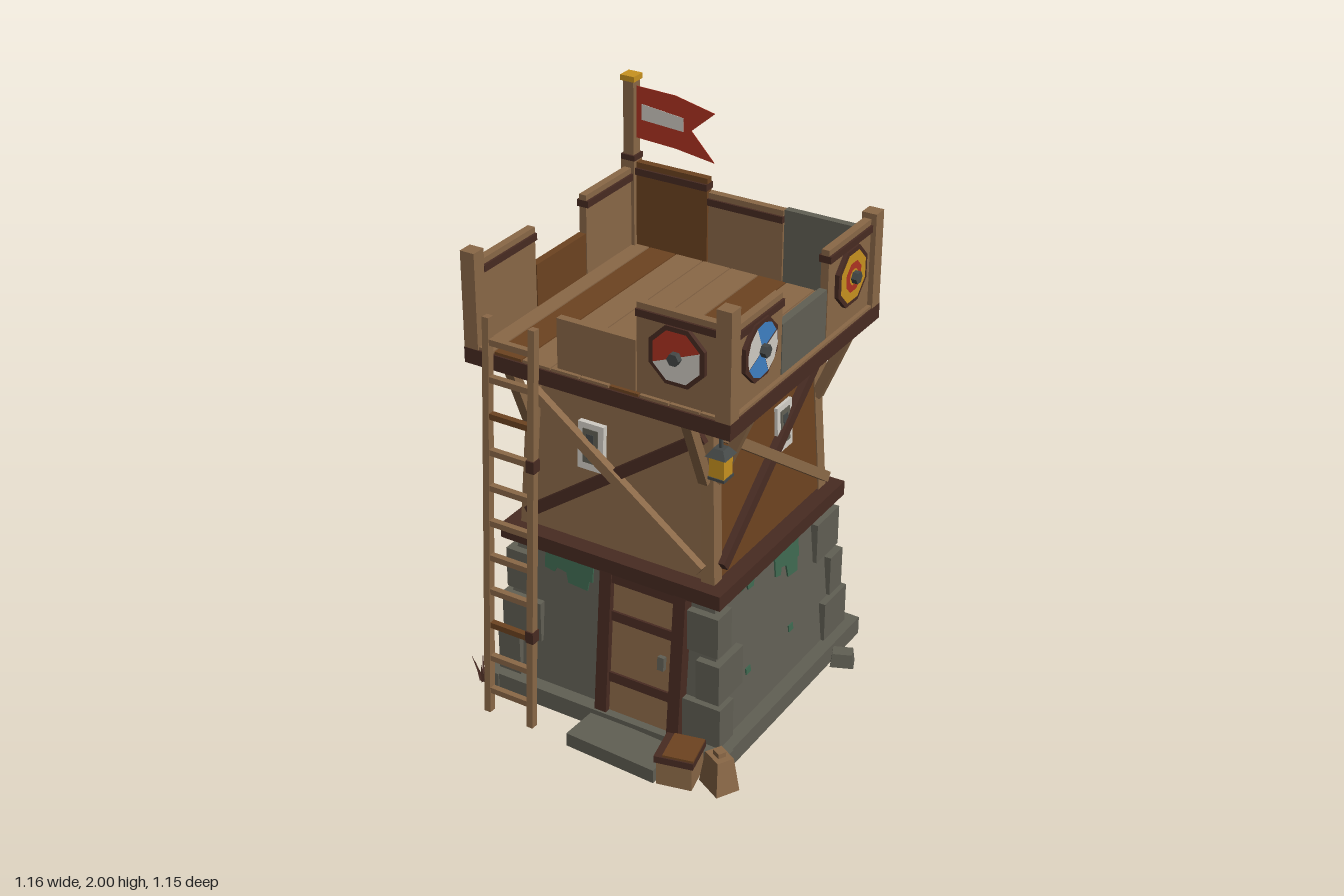
import * as THREE from 'three';

const mat = (name, color) => Object.assign(new THREE.MeshStandardMaterial({ color }), { name });
const M = {
  wood: mat('light wood', 0x8a6847), dark: mat('brown wood', 0x6d4320), trim: mat('dark trim', 0x482b22),
  stone: mat('stone', 0x615f54), moss: mat('moss', 0x3e6850), red: mat('red', 0xaf3322),
  white: mat('white', 0xd0ccc4), gold: mat('gold', 0xc8921f), blue: mat('blue', 0x3f80c4),
  iron: mat('iron', 0x444847),
};

function add(parent, name, geo, m, x = 0, y = 0, z = 0) {
  const mesh = new THREE.Mesh(geo, m);
  mesh.name = name;
  mesh.position.set(x, y, z);
  parent.add(mesh);
  return mesh;
}
const box = (p, name, m, w, h, d, x, y, z) => add(p, name, new THREE.BoxGeometry(w, h, d), m, x, y, z);

function group(parent, name, x = 0, y = 0, z = 0) {
  const g = new THREE.Group();
  g.name = name;
  g.position.set(x, y, z);
  parent.add(g);
  return g;
}

function flat(geo) {
  const g = geo.toNonIndexed();
  g.computeVertexNormals();
  return g;
}

// Square block tapering from half-width b at the bottom to t at the top
const taper = (b, t, h) =>
  flat(new THREE.CylinderGeometry(t * Math.SQRT2, b * Math.SQRT2, h, 4).rotateY(Math.PI / 4));

// Square bar between two points
function bar(p, name, m, a, b, w, d = w) {
  const A = new THREE.Vector3(...a), B = new THREE.Vector3(...b);
  const mesh = box(p, name, m, w, A.distanceTo(B), d, ...A.clone().add(B).multiplyScalar(0.5).toArray());
  mesh.quaternion.setFromUnitVectors(new THREE.Vector3(0, 1, 0), B.sub(A).normalize());
  return mesh;
}

// Thin plate cut from an outline
function plate(p, name, m, pts, depth, x, y, z) {
  const shape = new THREE.Shape(pts.map(q => new THREE.Vector2(...q)));
  return add(p, name, new THREE.ExtrudeGeometry(shape, { depth, bevelEnabled: false }), m, x, y, z);
}

// Octagonal shield; each painted part is [material, radius, segments, first corner]
function shield(p, x, y, parts) {
  const g = group(p, 'shield', x, y, 0.479);
  const disc = (name, m, r, h, n, z) =>
    add(g, name, flat(new THREE.CylinderGeometry(r, r, h, n).rotateY(Math.PI / n).rotateX(Math.PI / 2)), m, 0, 0, z);
  disc('shieldRim', M.trim, 0.108, 0.018, 8, 0.009);
  parts.forEach(([m, r, n, k], i) => add(g, 'shieldPaint',
    new THREE.CircleGeometry(r, n, Math.PI / 8 + k * Math.PI / 4, n * Math.PI / 4), m, 0, 0, 0.02 + i * 0.001));
  disc('shieldBoss', M.iron, 0.022, 0.034, 6, 0.025);
}

function moss(p, x, w, h) {
  const pts = [[0, 0], [0, -0.7], [0.2, -0.75], [0.25, -0.6], [0.45, -0.65], [0.5, -0.95], [0.9, -1], [0.93, -0.7], [1, -0.7], [1, 0]];
  plate(p, 'moss', M.moss, pts.map(([a, b]) => [(a - 0.5) * w, b * h]), 0.006, x, 0.27, 0);
}

function window_(p, x) {
  box(p, 'windowFrame', M.white, 0.1, 0.172, 0.03, x, 0.055, 0.005);
  box(p, 'windowPane', M.stone, 0.058, 0.125, 0.008, x, 0.058, 0.019);
  box(p, 'windowSlit', M.iron, 0.028, 0.09, 0.008, x, 0.058, 0.021);
}

export function createModel() {
  const root = new THREE.Group();
  root.name = 'watchtower';
  const tower = group(root, 'tower', 0, 0, -0.078);

  // Main tapered bodies
  add(tower, 'stoneBase', taper(0.44, 0.39, 0.57), M.stone, 0, 0.345, 0);
  add(tower, 'upperRoom', taper(0.372, 0.34, 0.65), M.wood, 0, 0.985, 0);

  // Parapet panels as seen from outside: [material, top height, has band]
  const panels = [
    [null, [M.wood, 1.545, 0], [M.wood, 1.68, 1]],
    [[M.wood, 1.66, 1], [M.stone, 1.545, 0], [M.wood, 1.68, 1]],
    [[M.stone, 1.635, 0], [M.wood, 1.63, 1], [M.dark, 1.68, 1]],
    [[M.wood, 1.66, 1], [M.dark, 1.52, 0], [M.wood, 1.66, 1]],
  ];
  ['front', 'left', 'back', 'right'].forEach((side, i) => {
    const face = group(tower, side + 'Side');
    face.rotation.y = i * Math.PI / 2;
    box(face, 'plinth', M.stone, 0.97, 0.07, 0.06, 0.01, 0.035, 0.46);
    box(face, 'beltBeam', M.trim, 0.87, 0.055, 0.08, 0, 0.638, 0.395);
    box(face, 'platformRim', M.trim, 1.004, 0.056, 0.05, 0, 1.328, 0.477);

    panels[i].forEach((q, k) => {
      if (!q) return;
      const [m, top, band] = q, x = (k - 1) * 0.3;
      box(face, 'parapetPanel', m, 0.295, top - 1.35, 0.028, x, (top + 1.35) / 2, 0.468);
      if (band) box(face, 'parapetBand', M.trim, 0.297, 0.025, 0.044, x, top - 0.033, 0.468);
    });

    // Struts carrying the platform
    for (const s of [-1, 1])
      bar(face, 'strut', M.wood, [s * 0.335, 1.04, 0.365], [s * 0.335, 1.305, 0.475], 0.035);

    // Leaning wall of the upper room with its braces
    const wall = group(face, 'upperWall', 0, 0.98, 0.357);
    wall.rotation.x = -0.049;
    if (i % 2) {
      const pts = [[-0.365, -0.31], [0.365, -0.31], [0.335, 0.32], [-0.335, 0.32]];
      plate(wall, 'wallBoards', M.dark, pts, 0.009, 0, 0, -0.001);
    }
    const d = i < 2 ? 1 : -1;
    bar(wall, 'darkBrace', M.trim, [-0.345 * d, -0.26, 0.02], [0.33 * d, 0.22, 0.02], 0.04, 0.03);
    if (i < 2) {
      bar(wall, 'lightBrace', M.wood, [-0.33, 0.22, 0.035], [0.345, -0.26, 0.035], 0.036, 0.03);
      window_(wall, i ? 0.09 : -0.1);
    }

    // Moss hanging on the stone
    const stone = group(face, 'stoneFace', 0, 0.345, 0.416);
    stone.rotation.x = -0.086;
    if (i === 0) moss(stone, -0.178, 0.195, 0.125);
    if (i === 1) {
      moss(stone, -0.19, 0.095, 0.07);
      moss(stone, 0.077, 0.165, 0.17);
      for (const x of [-0.22, 0.08]) box(stone, 'mossSpot', M.moss, 0.03, 0.025, 0.008, x, -0.1, 0);
    }
    if (i === 2) moss(stone, -0.08, 0.19, 0.13);
    if (i === 0) {
      // Door in the front wall
      box(stone, 'door', M.wood, 0.26, 0.56, 0.03, 0.137, 0, 0.005);
      for (const x of [-0.008, 0.282]) box(stone, 'doorPost', M.trim, 0.046, 0.56, 0.06, x, 0, 0.012);
      for (const y of [-0.14, 0.1]) box(stone, 'doorBand', M.trim, 0.25, 0.035, 0.015, 0.137, y, 0.022);
      box(stone, 'doorLintel', M.trim, 0.3, 0.05, 0.05, 0.137, 0.255, 0.012);
      box(stone, 'doorHandle', M.stone, 0.025, 0.05, 0.02, 0.22, -0.015, 0.028);
    }
  });

  // Corner posts, corner stones and parapet posts
  for (const sx of [-1, 1]) for (const sz of [-1, 1]) {
    bar(tower, 'cornerPost', M.wood, [sx * 0.36, 0.66, sz * 0.36], [sx * 0.328, 1.31, sz * 0.328], 0.05);
    const flagCorner = sx < 0 && sz < 0;
    if (!flagCorner) {
      [0.148, 0.31, 0.487].forEach((y, k) => {
        const h = 0.452 - k * 0.014, long = (k % 2 === 0) === (sx * sz > 0);
        const w = long ? 0.16 : 0.09, d = long ? 0.09 : 0.16;
        box(tower, 'cornerStone', M.stone, w, 0.155, d, sx * (h - w / 2), y, sz * (h - d / 2));
      });
      const top = sx > 0 && sz > 0 ? 1.738 : 1.7;
      box(tower, 'parapetPost', M.wood, 0.054, top - 1.35, 0.054, sx * 0.474, (top + 1.35) / 2, sz * 0.474);
    }
  }

  // Deck planks, joists and a bowl on the deck
  for (let i = 0; i < 9; i++)
    box(tower, 'deckPlank', i === 1 || i === 5 ? M.dark : M.wood, 0.106, 0.03, 0.99, (i - 4) * 0.111, 1.351, 0);
  for (let i = 0; i < 7; i++) box(tower, 'joist', M.wood, 0.04, 0.036, 0.92, (i - 3) * 0.13, 1.32, 0);
  add(tower, 'deckBowl', flat(new THREE.CylinderGeometry(0.037, 0.03, 0.03, 7)), M.gold, 0.365, 1.381, -0.362);

  // Shields
  const [front, left] = tower.children.filter(c => /^(front|left)Side$/.test(c.name));
  shield(front, 0.305, 1.535, [[M.red, 0.092, 4, 0], [M.white, 0.092, 4, 4]]);
  shield(left, -0.305, 1.53, [0, 2, 4, 6].map(k => [k % 4 ? M.white : M.blue, 0.092, 2, k]));
  shield(left, 0.3, 1.535, [[M.gold, 0.092, 8, 0], [M.red, 0.056, 8, 0], [M.gold, 0.03, 8, 0]]);

  // Flag and pole
  const flag = group(root, 'flag', -0.463, 0, -0.537);
  box(flag, 'flagPole', M.wood, 0.042, 0.63, 0.042, 0, 1.665, 0);
  box(flag, 'poleBase', M.wood, 0.054, 0.34, 0.054, -0.011, 1.52, -0.015);
  box(flag, 'poleRing', M.trim, 0.056, 0.02, 0.056, 0, 1.7, 0);
  box(flag, 'poleCap', M.gold, 0.056, 0.02, 0.056, 0, 1.99, 0);
  plate(flag, 'flagCloth', M.red,
    [[0, 0.005], [0.16, -0.003], [0.318, -0.025], [0.225, 0.075], [0.318, 0.155], [0.16, 0.19], [0, 0.195]],
    0.002, 0.018, 1.765, -0.001);
  plate(flag, 'flagStripe', M.white, [[0, 0.01], [0.168, 0], [0.168, 0.05], [0, 0.068]], 0.005, 0.043, 1.83, -0.0025);

  // Ladder leaning on the front
  const ladder = group(root, 'ladder');
  const zAt = y => 0.53 - y * 0.058;
  for (const x of [-0.388, -0.21])
    bar(ladder, 'ladderRail', M.wood, [x, 0.005, zAt(0)], [x, 1.505, zAt(1.505)], 0.025, 0.028);
  for (let i = 0; i < 11; i++) {
    const y = 0.095 + i * 0.1325;
    box(ladder, 'rung', i === 2 || i === 8 ? M.dark : M.wood, 0.17, 0.022, 0.022, -0.3, y, zAt(y));
  }
  for (const y of [0.37, 1.02]) box(ladder, 'ladderBinding', M.trim, 0.032, 0.045, 0.036, -0.21, y, zAt(y));

  // Lantern below the front corner
  const lantern = group(root, 'lantern', 0.465, 0, 0.415);
  box(lantern, 'lanternGlass', M.gold, 0.054, 0.075, 0.054, 0, 1.203, 0);
  box(lantern, 'lanternBase', M.iron, 0.06, 0.01, 0.06, 0, 1.163, 0);
  add(lantern, 'lanternRoof', taper(0.037, 0.018, 0.026), M.iron, 0, 1.253, 0);
  box(lantern, 'lanternHook', M.iron, 0.01, 0.05, 0.01, 0, 1.285, 0);

  // Doorstep
  box(root, 'doorstep', M.stone, 0.36, 0.052, 0.15, 0.135, 0.026, 0.487).rotation.y = -0.05;

  // Crate and sack beside the door
  const crate = group(root, 'crate', 0.368, 0, 0.492);
  crate.rotation.y = 0.22;
  box(crate, 'crateBody', M.wood, 0.125, 0.1, 0.125, 0, 0.05, 0);
  box(crate, 'crateBand', M.trim, 0.138, 0.026, 0.138, 0, 0.105, 0);
  box(crate, 'crateLid', M.dark, 0.108, 0.009, 0.128, 0.014, 0.121, 0);
  const sack = group(root, 'sack', 0.504, 0, 0.462);
  sack.rotation.y = -0.5;
  add(sack, 'sackBody', taper(0.057, 0.04, 0.125), M.wood, 0, 0.0625, 0).scale.z = 0.78;
  box(sack, 'sackTie', M.wood, 0.035, 0.02, 0.03, 0, 0.133, 0);

  // Loose stones and dry weeds
  for (const [x, z, w, d, r] of [[-0.53, 0.15, 0.08, 0.09, -0.25], [0.53, -0.37, 0.085, 0.06, 0.4]]) {
    const rock = add(root, 'looseStone', taper(0.5, 0.42, 0.055), M.stone, x, 0.0275, z);
    rock.scale.set(w, 1, d);
    rock.rotation.y = r;
  }
  for (let i = 0; i < 6; i++) {
    const a = i * 1.05, h = 0.08 + (i % 3) * 0.025;
    const blade = add(root, 'weed', flat(new THREE.ConeGeometry(0.008, h, 3)), M.trim,
      -0.512 + 0.02 * Math.cos(a), h / 2, 0.4 + 0.02 * Math.sin(a));
    blade.rotation.set(0.3 * Math.sin(a), 0, -0.3 * Math.cos(a));
  }
  return root;
}
